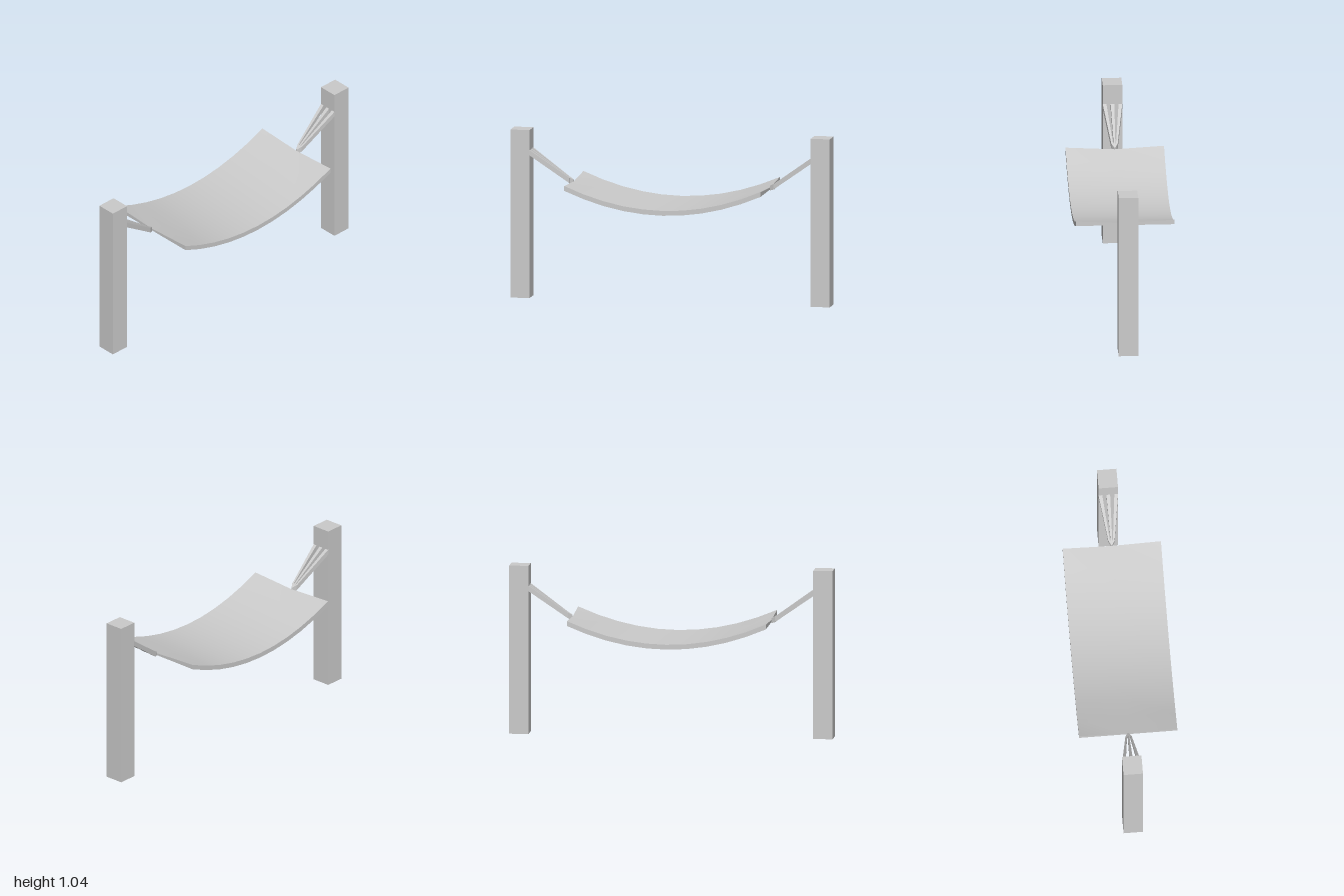
import * as THREE from 'three';

const POST_H = 1.045, HALF_X = 0.615, HALF_Z = 0.303, HEM = 0.03, SEGS = 10;
const mat = new THREE.MeshStandardMaterial({ color: 0xcccccc, side: THREE.DoubleSide, flatShading: true });
const smoothMat = new THREE.MeshStandardMaterial({ color: 0xcccccc, side: THREE.DoubleSide });

// Height of the sagging cloth along its length
const sag = x => 0.607 + 0.136 * (x / HALF_X) ** 2;
// The middle of each short end is pulled down slightly by the knot
const dip = (x, z) => (Math.abs(x) > HALF_X - 0.01 ? 0.017 * (1 - Math.abs(z) / HALF_Z) : 0);

function mesh(geo, name, material = mat) {
  const m = new THREE.Mesh(geo, material);
  m.name = name;
  return m;
}

// Grid patch: place(u, v) gives the point for u, v in 0..1
function patch(nu, nv, place) {
  const geo = new THREE.PlaneGeometry(1, 1, nu, nv);
  const p = geo.attributes.position;
  for (let i = 0; i < p.count; i++) p.setXYZ(i, ...place(p.getX(i) + 0.5, p.getY(i) + 0.5));
  geo.computeVertexNormals();
  return geo;
}

// Four-sided bar from a to b; each end is [x, y, z, height, width]
function taperedBar(a, b) {
  const geo = new THREE.BoxGeometry(1, 1, 1);
  const p = geo.attributes.position;
  for (let i = 0; i < p.count; i++) {
    const [x, y, z, h, w] = p.getX(i) < 0 ? a : b;
    p.setXYZ(i, x, y + p.getY(i) * h, z + p.getZ(i) * w);
  }
  geo.computeVertexNormals();
  return geo;
}

// Post with an open underside
function postGeometry() {
  const geo = new THREE.BoxGeometry(0.12, POST_H, 0.12);
  const index = Array.from(geo.index.array);
  index.splice(18, 6);
  geo.setIndex(index);
  return geo.translate(0.94, POST_H / 2, 0);
}

// Post, knot and three ropes at one end
function support(name) {
  const g = new THREE.Group();
  g.name = name;
  g.add(mesh(postGeometry(), 'post'));
  for (const s of [-1, 0, 1]) {
    g.add(mesh(taperedBar([0.64, 0.733, s * 0.014, 0.033, 0.01], [0.882, 0.905, s * 0.049, 0.033, 0.023]), 'rope'));
  }
  g.add(mesh(taperedBar([0.615, 0.722, 0, 0.03, 0.006], [0.642, 0.734, 0, 0.036, 0.038]), 'knot'));
  return g;
}

export function createModel() {
  const model = new THREE.Group();
  model.name = 'hammock';

  const left = support('leftSupport');
  const right = support('rightSupport');
  right.rotation.y = Math.PI;
  model.add(left, right);

  // Cloth sheet with hems hanging from its four edges
  const cloth = new THREE.Group();
  cloth.name = 'cloth';
  cloth.add(mesh(patch(SEGS, 2, (u, v) => {
    const x = (u * 2 - 1) * HALF_X, z = (1 - v * 2) * HALF_Z;
    return [x, sag(x) - dip(x, z), z];
  }), 'sheet', smoothMat));
  for (const s of [1, -1]) {
    cloth.add(mesh(patch(SEGS, 1, (u, v) => {
      const x = s * (u * 2 - 1) * HALF_X;
      return [x, sag(x) - (1 - v) * HEM, s * HALF_Z];
    }), 'sideHem'));
    cloth.add(mesh(patch(2, 1, (u, v) => {
      const x = s * HALF_X, z = s * (1 - u * 2) * HALF_Z;
      return [x, sag(x) - (v > 0.5 ? dip(x, z) : HEM), z];
    }), 'endHem'));
  }
  model.add(cloth);
  return model;
}
